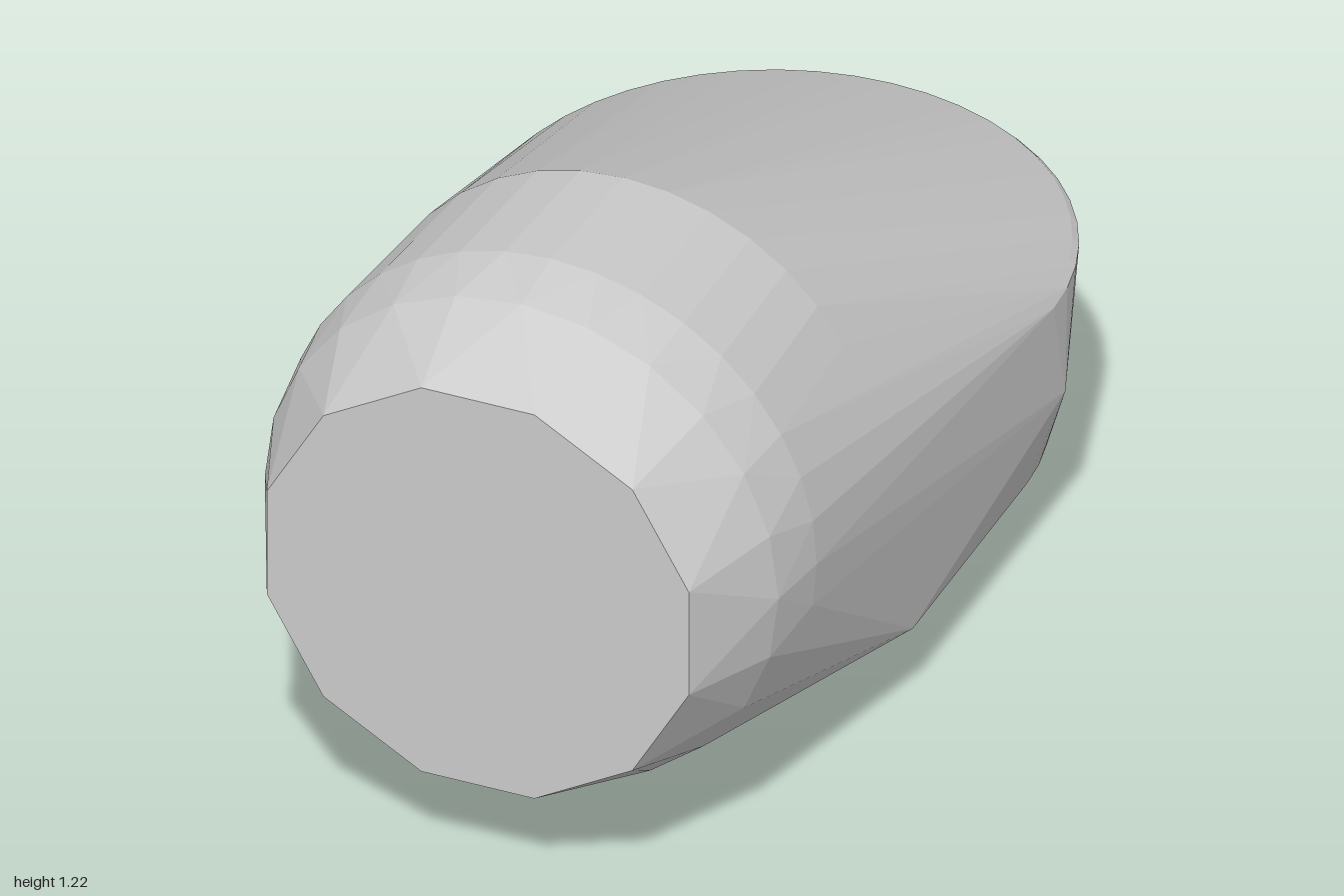
import * as THREE from 'three';
import { ConvexGeometry } from 'three/addons/geometries/ConvexGeometry.js';

const V = (x, y, z) => new THREE.Vector3(x, y, z);

// upright ring facing +z, centred on the nose axis
function noseRing(points, z, radius, count, offset = 0) {
  for (let i = 0; i < count; i++) {
    const a = ((i + offset) / count) * Math.PI * 2;
    points.push(V(radius * Math.cos(a), 0.67 + radius * Math.sin(a), z));
  }
}

// level ring around the vertical axis of the rounded tail
function tailRing(points, y, radius, count = 48) {
  for (let i = 0; i < count; i++) {
    const a = (i / count) * Math.PI * 2;
    points.push(V(radius * Math.cos(a), y, -0.415 + radius * Math.sin(a)));
  }
}

export function createModel() {
  const group = new THREE.Group();
  const points = [];

  // twelve-sided flat nose, widening to a round barrel
  noseRing(points, 1, 0.455, 12, 0.5);
  noseRing(points, 0.79, 0.535, 24);
  noseRing(points, 0.65, 0.554, 36);
  noseRing(points, 0.3, 0.527, 36);

  // tapered tail drum with a softened upper rim
  tailRing(points, 0.632, 0.572);
  tailRing(points, 0.618, 0.585);
  tailRing(points, 0.56, 0.58);
  tailRing(points, 0.2, 0.528);

  // shallow spherical underside
  const R = 0.8;
  for (let i = 1; i < 7; i++) {
    const r = 0.528 * (i / 7);
    tailRing(points, R - Math.sqrt(R * R - r * r), r, 32);
  }
  points.push(V(0, 0, -0.415));

  // lower side corners and flank corners
  for (const s of [-1, 1]) points.push(V(s * 0.528, 0.2, 0.13));
  points.push(V(0.585, 0.395, -0.47), V(-0.585, 0.56, -0.43));

  const body = new THREE.Mesh(
    new ConvexGeometry(points),
    new THREE.MeshStandardMaterial({ color: 0xcccccc, flatShading: true })
  );
  body.name = 'body';
  group.add(body);
  return group;
}
